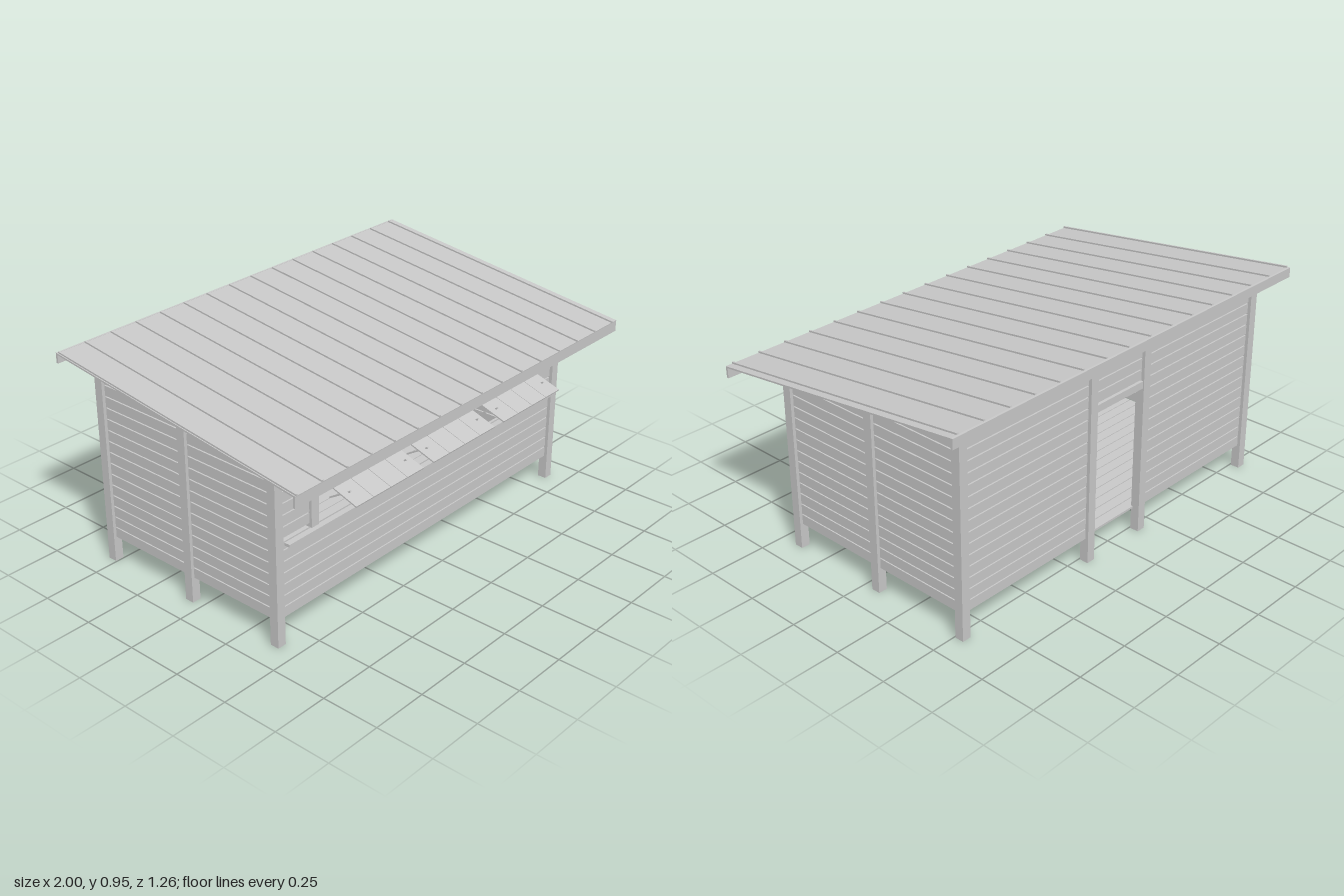
import * as THREE from 'three';

export function createModel() {
  const model = new THREE.Group();
  const timber = new THREE.MeshStandardMaterial({ color: 0xc8c8c8 });
  timber.name = 'pale grey timber';

  const group = (name, parent = model) => {
    const g = new THREE.Group();
    g.name = name;
    parent.add(g);
    return g;
  };
  // Box given by its limits on each axis
  const box = (name, x0, x1, y0, y1, z0, z1, parent = model) => {
    const mesh = new THREE.Mesh(new THREE.BoxGeometry(x1 - x0, y1 - y0, z1 - z0), timber);
    mesh.name = name;
    mesh.position.set((x0 + x1) / 2, (y0 + y1) / 2, (z0 + z1) / 2);
    parent.add(mesh);
    return mesh;
  };

  const slope = 0.125;
  const underside = (z) => 0.822 - slope * z; // bottom of the rafters
  const pitch = 0.0495, boardH = 0.044, t = 0.006;
  const boardY = (k) => 0.11 + k * pitch;
  const frontZ = 0.4, midZ = -0.065, backZ = -0.525, sideX = 0.87;

  // Posts
  const posts = group('posts');
  const post = (name, x, z) =>
    box(name, x - 0.02, x + 0.02, 0, underside(z) + 0.003, z - 0.02, z + 0.02, posts);
  for (const s of [-1, 1]) {
    post('frontCornerPost', s * sideX, frontZ);
    post('sidePost', s * sideX, midZ);
    post('backCornerPost', s * sideX, backZ);
    post('doorPost', s * 0.16, backZ);
  }

  // Floor planks
  const floor = group('floor');
  const planks = 18, step = 0.905 / planks;
  for (let i = 0; i < planks; i++) {
    const z = -0.515 + i * step;
    box('floorPlank', -0.86, 0.86, 0.1, 0.11, z + 0.002, z + step - 0.002, floor);
  }

  // Side walls, upper boards shortened to stay under the roof
  for (const s of [-1, 1]) {
    const wall = group(s > 0 ? 'leftWall' : 'rightWall');
    for (let k = 0; k < 15; k++) {
      const z1 = k < 14 ? 0.38 : 0.02;
      box('sideBoard', s * sideX - t, s * sideX + t, boardY(k), boardY(k) + boardH, -0.505, z1, wall);
    }
  }

  // Back wall with a door opening
  const back = group('backWall');
  const backBoard = (x0, x1, k) =>
    box('backBoard', x0, x1, boardY(k), boardY(k) + boardH, backZ - t, backZ + t, back);
  for (let k = 0; k < 15; k++) {
    backBoard(-0.85, -0.18, k);
    backBoard(0.18, 0.85, k);
    if (k >= 12) backBoard(-0.14, 0.14, k);
  }
  box('doorHeader', -0.14, 0.14, 0.668, 0.7, backZ - 0.015, backZ + 0.015, back);

  // Front wall with a long serving opening
  const front = group('frontWall');
  const frontBoard = (x0, x1, y0, y1) =>
    box('frontBoard', x0, x1, y0, y1, frontZ - t, frontZ + t, front);
  for (let k = 0; k < 13; k++) {
    const y = boardY(k);
    if (k < 6 || k > 10) frontBoard(-0.85, 0.85, y, y + boardH);
    else if (k > 6) {
      frontBoard(-0.85, -0.695, y, y + boardH);
      frontBoard(0.695, 0.85, y, y + boardH);
    }
  }
  frontBoard(-0.85, 0.85, 0.407, 0.44);
  frontBoard(-0.695, 0.695, 0.632, 0.649);
  box('shelf', -0.83, 0.83, 0.422, 0.434, frontZ, 0.432, front);
  for (const x of [-0.675, -0.225, 0.225, 0.675])
    box('windowPost', x - 0.02, x + 0.02, 0.44, 0.63, 0.38, 0.418, front);

  // Raised window flaps, each of four planks with battens and two props
  for (const x of [-0.45, 0, 0.45]) {
    const flap = group('windowFlap');
    flap.position.set(x, 0.63, 0.42);
    flap.rotation.x = Math.atan2(0.056, 0.172);
    for (let i = 0; i < 4; i++) {
      const x0 = -0.195 + i * 0.0975;
      box('flapPlank', x0 + 0.001, x0 + 0.0965, -0.003, 0.003, 0, 0.181, flap);
    }
    for (const z of [0.035, 0.145])
      box('flapBatten', -0.18, 0.18, -0.01, -0.003, z - 0.007, z + 0.007, flap);
    for (const s of [-1, 1]) {
      const prop = box('flapProp', -0.004, 0.004, -0.003, 0.003, -0.0615, 0.0615);
      prop.position.set(x + s * 0.16, 0.573, 0.485);
      prop.rotation.x = -Math.atan2(0.065, 0.105);
    }
  }

  // Sloping roof: local y = 0 is the rafter underside
  const roof = group('roof');
  roof.position.y = 0.822;
  roof.rotation.x = Math.atan(slope);
  const halfL = 0.622;
  box('roofSheet', -1, 1, 0.036, 0.043, -halfL - 0.005, halfL + 0.005, roof);
  for (let i = 0; i < 16; i++) {
    const x = -0.992 + i * 0.1305;
    box('roofSeam', x - 0.004, x + 0.004, 0.042, 0.05, -halfL - 0.005, halfL + 0.005, roof);
  }
  for (let i = 0; i < 11; i++) {
    const x = -0.9 + i * 0.18;
    box('rafter', x - 0.01, x + 0.01, 0, 0.036, -halfL, halfL, roof);
  }

  // Upright fascia boards at the eaves
  box('frontFascia', -1, 1, 0.737, 0.787, 0.617, 0.627);
  box('backFascia', -1, 1, 0.9, 0.943, -0.627, -0.617);

  return model;
}
